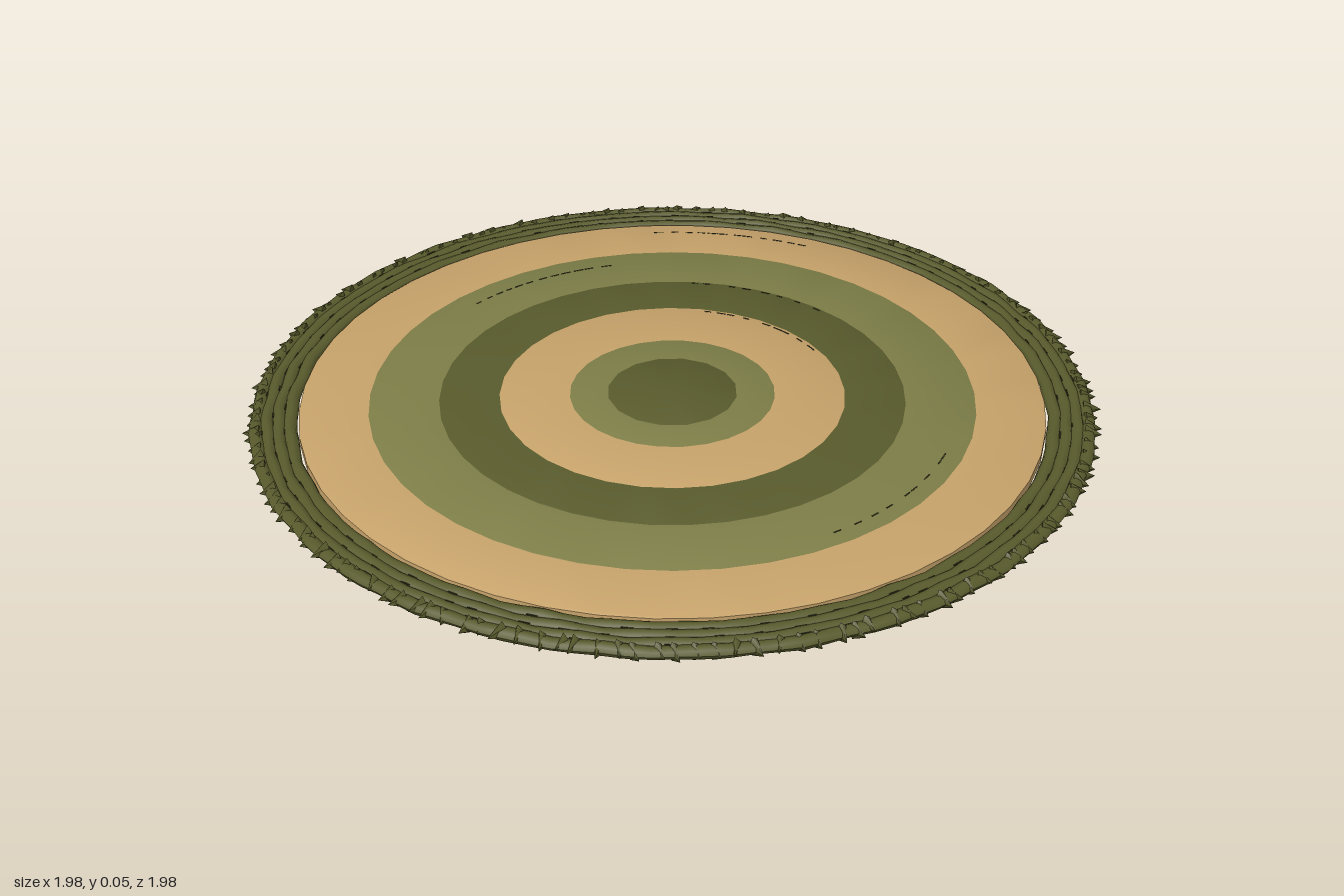
import * as THREE from 'three';
import { mergeGeometries, toCreasedNormals } from 'three/addons/utils/BufferGeometryUtils.js';

const MID = 0.033; // middle height of the rug

function material(name, color) {
  const m = new THREE.MeshStandardMaterial({ color });
  m.name = name;
  return m;
}

function seeded(seed) {
  return () => (seed = (seed * 16807) % 2147483647) / 2147483647;
}

export function createModel() {
  const rug = new THREE.Group();
  rug.name = 'roundRug';
  const rand = seeded(71);

  const darkOlive = material('dark olive', 0x585a2c);
  const lightOlive = material('light olive', 0x7c7d47);
  const tan = material('tan', 0xc6a26a);
  const thread = material('dark thread', 0x2c2c16);

  const add = (name, geometry, mat) => {
    const mesh = new THREE.Mesh(geometry, mat);
    mesh.name = name;
    rug.add(mesh);
  };

  // Flat ring with softened edges, closed above and below
  function band(r0, r1, half, sides) {
    const b = 0.006;
    const profile = [
      [r0, -half], [r1 - b, -half], [r1, -half + b / 2], [r1, half - b / 2],
      [r1 - b, half], [r0, half], [r0, -half],
    ].map(([x, y]) => new THREE.Vector2(x, MID + y));
    return toCreasedNormals(new THREE.LatheGeometry(profile, sides), 0.6);
  }

  // Woven bands from the centre outwards; each overlaps the next a little
  const bands = [
    ['centre', 0, 0.155, darkOlive, 16],
    ['innerLightBand', 0.13, 0.243, lightOlive, 28],
    ['innerTanBand', 0.22, 0.407, tan, 32],
    ['middleDarkBand', 0.385, 0.547, darkOlive, 40],
    ['outerLightBand', 0.52, 0.71, lightOlive, 44],
    ['outerTanBand', 0.68, 0.867, tan, 48],
  ];
  bands.forEach(([name, r0, r1, mat, sides], i) =>
    add(name, band(r0, r1, 0.02 - i * 0.0014, sides), mat));

  // Braided border: flattened strands with a slightly uneven surface
  const strands = [0.886, 0.912, 0.938, 0.962].map((radius, s) => {
    const g = new THREE.TorusGeometry(radius, 0.0165, 8, 120);
    g.rotateX(Math.PI / 2);
    const p = g.attributes.position;
    for (let i = 0; i < p.count; i++) {
      const a = Math.atan2(p.getZ(i), p.getX(i));
      const k = 1 + 0.0022 * Math.sin(a * 37 + s * 2) + 0.0015 * Math.sin(a * 23 + s);
      const lift = 0.8 + 0.1 * Math.sin(a * 30 + s * 1.7);
      p.setXYZ(i, p.getX(i) * k, MID + p.getY(i) * lift, p.getZ(i) * k);
    }
    g.computeVertexNormals();
    return g;
  });
  add('braidedBorder', mergeGeometries(strands), darkOlive);

  // Frayed tufts around the rim
  const tufts = [];
  for (let i = 0; i < 150; i++) {
    const a = (i + rand() * 0.6) / 150 * Math.PI * 2;
    const length = 0.03 + rand() * 0.012;
    const g = new THREE.ConeGeometry(0.024, length, 5);
    g.scale(1, 1, 0.45);
    g.rotateZ(-Math.PI / 2);
    g.rotateY((rand() - 0.5) * 1.1);
    g.translate(0.955 + length / 2, MID + (rand() - 0.5) * 0.008, 0);
    g.rotateY(a);
    tufts.push(g);
  }
  add('frayedRim', mergeGeometries(tufts), darkOlive);

  // Short dark stitches lying on both faces
  const stitches = [];
  function stitchRun(radius, half, start, end, count) {
    for (let i = 0; i < count; i++) {
      const a = start + (end - start) * (i + rand() * 0.6) / count;
      for (const side of [1, -1]) {
        const g = new THREE.BoxGeometry(0.003, 0.002, 0.014 + rand() * 0.014);
        g.translate(radius, MID + side * half, 0);
        g.rotateY(a);
        stitches.push(g);
      }
    }
  }
  stitchRun(0.392, 0.0172, 1.1, 2.0, 9);
  stitchRun(0.535, 0.0158, 1.4, 2.1, 8);
  stitchRun(0.65, 0.0144, 2.4, 3.0, 12);
  stitchRun(0.665, 0.0144, 5.8, 6.5, 9);
  stitchRun(0.82, 0.013, 1.7, 2.2, 12);
  [0.899, 0.925, 0.95].forEach((r) => stitchRun(r, 0.009, 0, Math.PI * 2, 60));
  add('stitches', mergeGeometries(stitches), thread);

  return rug;
}
